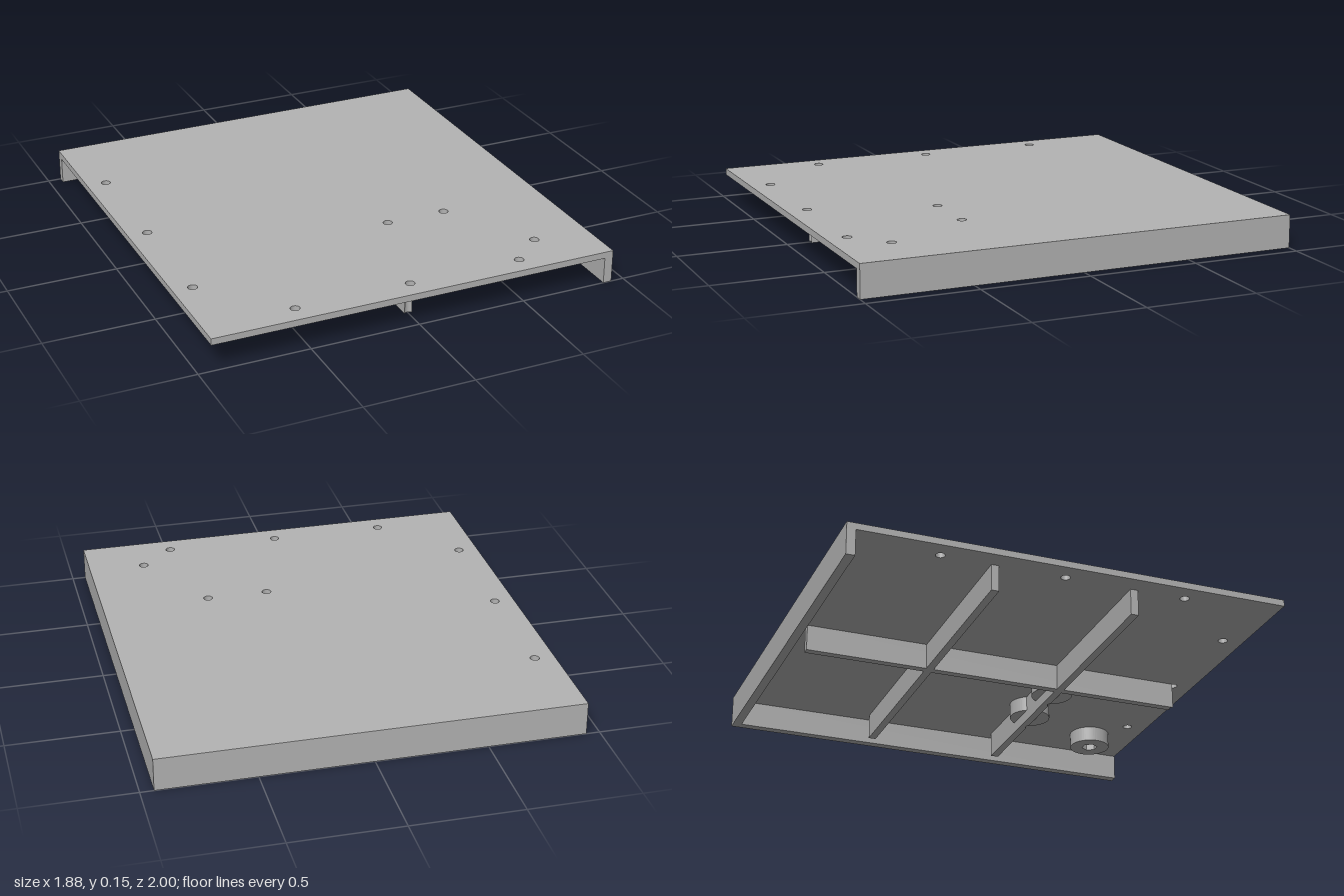
import * as THREE from 'three';

const TOP = 0.15, UNDER = 0.12, HOLE = 0.021;
const W = 0.94, D = 1, WALL = 0.04, RIB = 0.0175;

// Rectangle in the x-z plane
function rect(x0, x1, z0, z1) {
  const s = new THREE.Shape();
  s.moveTo(x0, z0);
  s.lineTo(x1, z0);
  s.lineTo(x1, z1);
  s.lineTo(x0, z1);
  s.closePath();
  return s;
}

function circle(Type, x, z, r) {
  const c = new Type();
  c.absarc(x, z, r, 0, Math.PI * 2, false);
  return c;
}

function hexagon(x, z, r) {
  const pts = [];
  for (let i = 0; i < 6; i++) {
    const a = (i * Math.PI) / 3;
    pts.push(new THREE.Vector2(x + r * Math.cos(a), z + r * Math.sin(a)));
  }
  return new THREE.Path(pts);
}

// Concave bite of a screw hole, entered at depth dz behind the hole centre
function bite(shape, x, z, dz) {
  const a = -Math.asin(dz / HOLE);
  shape.absarc(x, z, HOLE, a, -Math.PI - a, true);
}

export function createModel() {
  const group = new THREE.Group();
  const grey = new THREE.MeshStandardMaterial({ color: 0xb3b3b3 });
  grey.name = 'grey';

  // Extrudes an x-z outline between two heights
  function slab(name, shape, y0, y1, parent = group) {
    const g = new THREE.ExtrudeGeometry(shape, { depth: y1 - y0, bevelEnabled: false, curveSegments: 32 });
    g.rotateX(Math.PI / 2).translate(0, y1, 0);
    const m = new THREE.Mesh(g, grey);
    m.name = name;
    parent.add(m);
  }

  const bosses = [[0.165, 0.35], [0.445, 0.35], [0.68, 0.765]];
  const screws = [[-0.85, -0.565], [-0.85, 0], [-0.85, 0.56], [-0.53, 0.905], [0, 0.905], [0.525, 0.905]];

  // Top plate with screw holes
  const plate = rect(-W, W, -D, D);
  for (const [x, z] of [...bosses, ...screws]) plate.holes.push(circle(THREE.Path, x, z, HOLE));
  slab('topPlate', plate, UNDER, TOP);

  // Skirt walls along the back and the left side
  slab('backWall', rect(-W, W, -D, -D + WALL), 0, UNDER);
  slab('sideWall', rect(W - WALL, W, -D + WALL, D), 0, UNDER);

  // Long rib, hollowed at the front by a screw hole
  const longRib = new THREE.Shape();
  longRib.moveTo(-RIB, -0.9);
  longRib.lineTo(RIB, -0.9);
  bite(longRib, 0, 0.905, Math.sqrt(HOLE ** 2 - RIB ** 2));
  longRib.closePath();
  slab('longRib', longRib, 0, UNDER);

  // Cross ribs; the front one is grooved by two boss holes
  slab('backCrossRib', rect(-0.85, 0.845, -0.32 - RIB, -0.32 + RIB), 0, UNDER);
  const z1 = 0.32 + RIB;
  const frontRib = new THREE.Shape();
  frontRib.moveTo(-0.85, 0.32 - RIB);
  frontRib.lineTo(0.845, 0.32 - RIB);
  frontRib.lineTo(0.845, z1);
  bite(frontRib, 0.445, 0.35, 0.35 - z1);
  bite(frontRib, 0.165, 0.35, 0.35 - z1);
  frontRib.lineTo(-0.85, z1);
  frontRib.closePath();
  slab('frontCrossRib', frontRib, 0, UNDER);

  // Round bosses: hexagonal nut pocket below, screw hole above
  for (const [x, z] of bosses) {
    const boss = new THREE.Group();
    boss.name = 'boss';
    const lower = circle(THREE.Shape, x, z, 0.095);
    lower.holes.push(hexagon(x, z, 0.038));
    slab('nutPocket', lower, 0.05, 0.09, boss);
    const upper = circle(THREE.Shape, x, z, 0.095);
    upper.holes.push(circle(THREE.Path, x, z, HOLE));
    slab('bossBase', upper, 0.09, UNDER, boss);
    group.add(boss);
  }
  return group;
}
